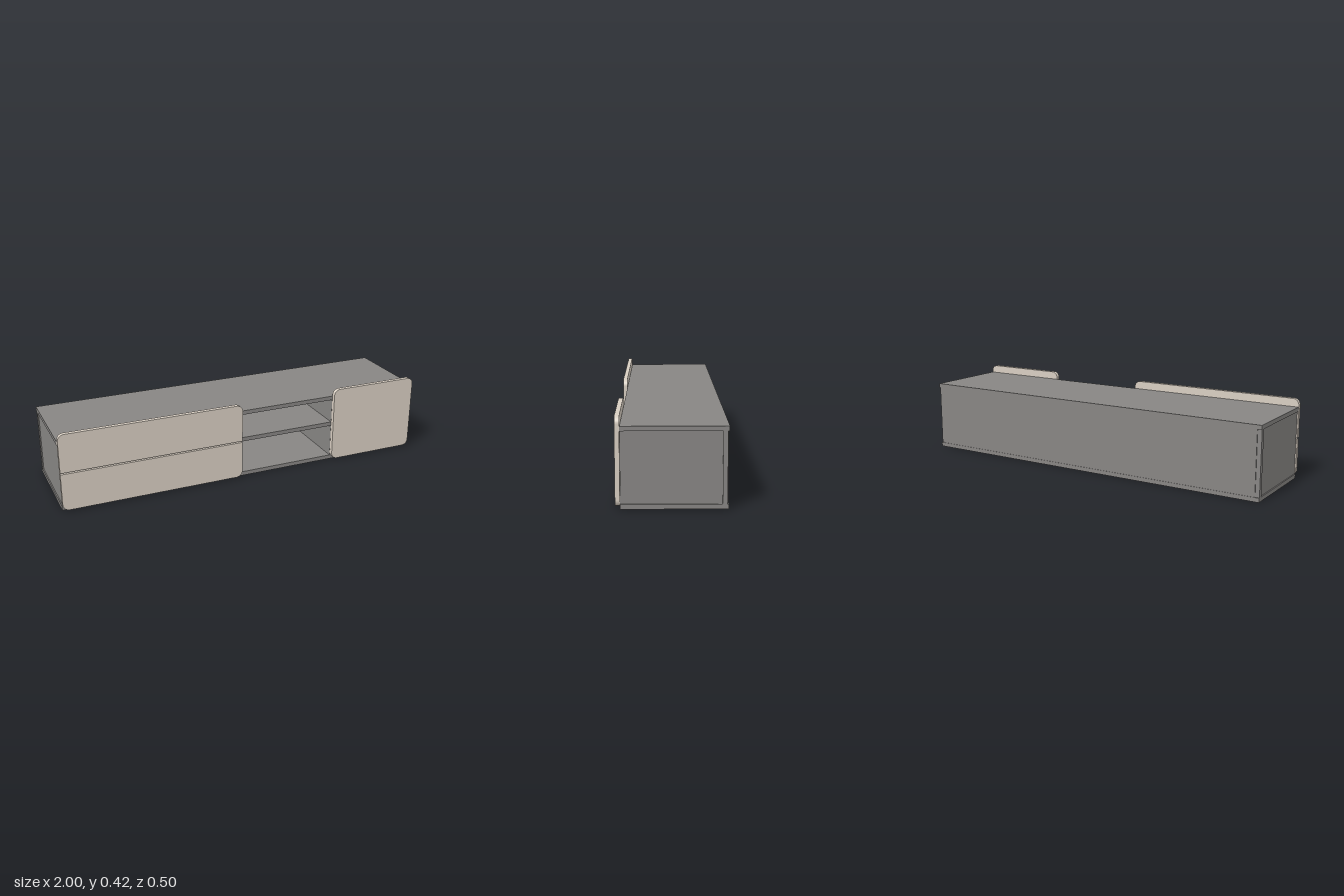
import * as THREE from 'three';

const dark = new THREE.MeshStandardMaterial({ color: 0x878583 });
const tan = new THREE.MeshStandardMaterial({ color: 0xd8cec2 });
const grey = new THREE.MeshStandardMaterial({ color: 0xcccccc });

export function createModel() {
  const model = new THREE.Group();
  model.name = 'mediaCabinet';

  // Box given by its limits on each axis
  function panel(name, [x0, x1], [y0, y1], [z0, z1], material = dark) {
    const mesh = new THREE.Mesh(new THREE.BoxGeometry(x1 - x0, y1 - y0, z1 - z0), material);
    mesh.position.set((x0 + x1) / 2, (y0 + y1) / 2, (z0 + z1) / 2);
    mesh.name = name;
    model.add(mesh);
  }

  // Front plate with separate radii for its top and bottom corners
  function front(name, [x0, x1], [y0, y1], rTop, rBottom) {
    const s = new THREE.Shape();
    s.moveTo(x0 + rBottom, y0);
    s.lineTo(x1 - rBottom, y0);
    if (rBottom) s.absarc(x1 - rBottom, y0 + rBottom, rBottom, -Math.PI / 2, 0);
    s.lineTo(x1, y1 - rTop);
    if (rTop) s.absarc(x1 - rTop, y1 - rTop, rTop, 0, Math.PI / 2);
    s.lineTo(x0 + rTop, y1);
    if (rTop) s.absarc(x0 + rTop, y1 - rTop, rTop, Math.PI / 2, Math.PI);
    s.lineTo(x0, y0 + rBottom);
    if (rBottom) s.absarc(x0 + rBottom, y0 + rBottom, rBottom, Math.PI, Math.PI * 1.5);
    const geometry = new THREE.ExtrudeGeometry(s, { depth: 0.022, bevelEnabled: false, curveSegments: 10 });
    const mesh = new THREE.Mesh(geometry, tan);
    mesh.position.z = 0.23;
    mesh.name = name;
    model.add(mesh);
  }

  const t = 0.022, height = 0.374, zBack = -0.251, zFront = 0.229;
  const inner = [t, height - t];
  const open = [-0.035, 0.505];

  // Top and bottom boards
  panel('bottomBoard', [-1, 1], [0, t], [zBack, zFront]);
  panel('topBoard', [-1, 1], [height - t, height], [zBack, zFront]);

  // Slightly recessed end panels with flush corner posts
  for (const [side, s] of [['left', 1], ['right', -1]]) {
    const span = (a, b) => (s > 0 ? [a, b] : [-b, -a]);
    panel(side + 'EndPanel', span(0.975, 0.994), inner, [-0.223, zFront]);
    panel(side + 'BackPost', span(0.975, 1), inner, [-0.245, -0.223]);
  }

  // Back board and its pale inner lining
  panel('backBoard', [-0.978, 0.978], inner, [-0.249, -0.245]);
  panel('backLining', [-0.975, 0.975], inner, [-0.245, -0.223], grey);

  // Dividers and the shelf of the open bay
  panel('rightDivider', [open[0] - t, open[0]], inner, [-0.223, zFront]);
  panel('leftDivider', [open[1], open[1] + t], inner, [-0.223, zFront]);
  panel('shelf', open, [0.2, 0.222], [-0.223, zFront]);

  // Drawer fronts and door
  front('lowerDrawerFront', [-1, open[0]], [0.008, 0.206], 0, 0.034);
  front('upperDrawerFront', [-1, open[0]], [0.213, 0.416], 0.034, 0);
  front('door', [open[1], 1], [0.008, 0.416], 0.034, 0.034);

  return model;
}
